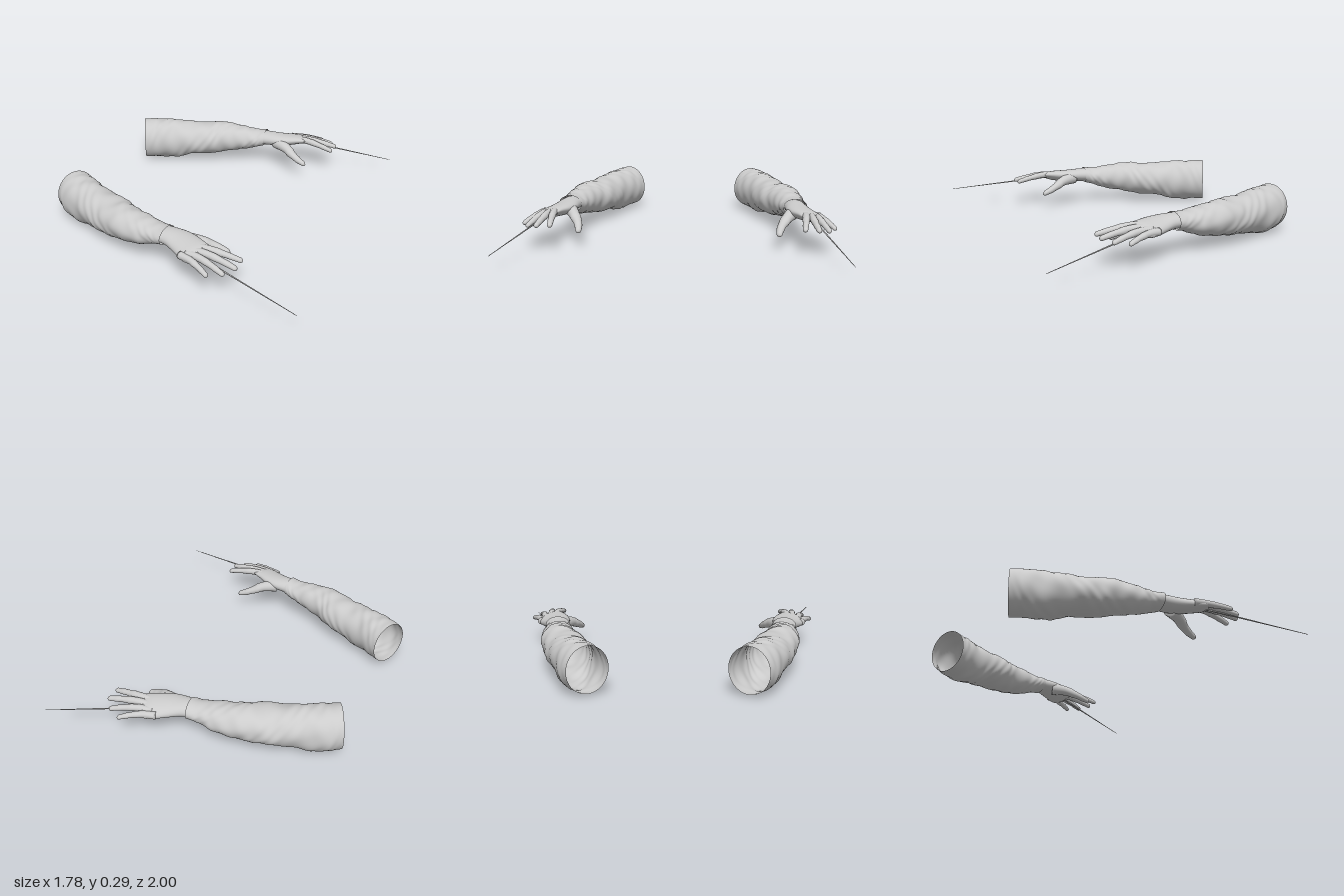
import * as THREE from 'three';

const V = (x, y, z) => new THREE.Vector3(x, y, z);
const skin = new THREE.MeshStandardMaterial({ color: 0xcccccc });
const cloth = new THREE.MeshStandardMaterial({ color: 0xcccccc, side: THREE.DoubleSide });

// Skins a row of elliptical rings { c: centre, u: sideways half axis, h: half height }.
// side = -1 mirrors across z; ripple(t, angle) scales the ring locally.
function loft(rings, sides, side, capped, ripple = () => 1) {
  const pos = [], index = [], n = rings.length;
  const tri = (a, b, c) => (side > 0 ? index.push(a, b, c) : index.push(a, c, b));
  const put = (p) => pos.push(p.x, p.y, p.z * side);
  rings.forEach((r, i) => {
    for (let j = 0; j < sides; j++) {
      const a = (j / sides) * Math.PI * 2, k = ripple(i / (n - 1), a);
      const p = r.c.clone().addScaledVector(r.u, Math.cos(a) * k);
      p.y += Math.sin(a) * r.h * k;
      put(p);
    }
  });
  for (let i = 0; i < n - 1; i++) {
    for (let j = 0; j < sides; j++) {
      const k = (j + 1) % sides, a = i * sides, b = a + sides;
      tri(a + j, b + j, a + k);
      tri(b + j, b + k, a + k);
    }
  }
  if (capped) {
    const s = n * sides, last = (n - 1) * sides;
    put(rings[0].c);
    put(rings[n - 1].c);
    for (let j = 0; j < sides; j++) {
      const k = (j + 1) % sides;
      tri(s, j, k);
      tri(s + 1, last + k, last + j);
    }
  }
  const g = new THREE.BufferGeometry();
  g.setAttribute('position', new THREE.Float32BufferAttribute(pos, 3));
  g.setIndex(index);
  g.computeVertexNormals();
  return g;
}

// Smooth rings from rows of [outer x, outer z, inner x, inner z, low y, high y, tilt].
function sectionRings(rows, count) {
  const curve = (f) => new THREE.CatmullRomCurve3(rows.map(f));
  const outer = curve(([x, z, , , lo, hi, t = 0]) => V(x, (lo + hi) / 2 - t, z));
  const inner = curve(([, , x, z, lo, hi, t = 0]) => V(x, (lo + hi) / 2 + t, z));
  const height = curve(([, , , , lo, hi], i) => V(i, (hi - lo) / 2, 0));
  return Array.from({ length: count + 1 }, (_, i) => {
    const o = outer.getPoint(i / count), n = inner.getPoint(i / count);
    return { c: o.clone().add(n).multiplyScalar(0.5), u: o.sub(n).multiplyScalar(0.5), h: height.getPoint(i / count).y };
  });
}

// Rings of a finger: tapering, with swollen joints and a round tip.
function fingerRings(points, r0, r1) {
  const curve = new THREE.CatmullRomCurve3(points.map((p) => V(...p)));
  const length = curve.getLength(), count = 32;
  return Array.from({ length: count + 1 }, (_, i) => {
    const t = 1 - (1 - i / count) ** 1.5;
    const d = curve.getTangentAt(t);
    const tip = Math.min(1, ((1 - t) * length) / r1);
    const joints = 1 + 0.09 * Math.exp(-(((t - 0.5) / 0.06) ** 2)) + 0.07 * Math.exp(-(((t - 0.77) / 0.05) ** 2));
    const r = Math.max(0.0008, THREE.MathUtils.lerp(r0, r1, t) * joints * Math.sqrt(1 - (1 - tip) ** 2));
    return { c: curve.getPointAt(t), u: V(-d.z, 0, d.x).normalize().multiplyScalar(r), h: r * 0.95 };
  });
}

const sleeveRows = [
  [-0.89, 0.55, -0.77, 0.33, 0.008, 0.283],
  [-0.82, 0.60, -0.69, 0.375, 0.004, 0.283],
  [-0.70, 0.645, -0.58, 0.425, 0.006, 0.275],
  [-0.58, 0.695, -0.48, 0.465, 0.03, 0.268],
  [-0.46, 0.74, -0.36, 0.505, 0.045, 0.263],
  [-0.34, 0.775, -0.27, 0.565, 0.06, 0.267],
  [-0.20, 0.793, -0.15, 0.605, 0.088, 0.253],
  [-0.10, 0.79, -0.06, 0.63, 0.12, 0.24],
  [-0.02, 0.80, 0.0, 0.65, 0.14, 0.245],
];
const palmRows = [
  [-0.06, 0.782, -0.04, 0.65, 0.148, 0.235],
  [0.01, 0.797, 0.02, 0.656, 0.147, 0.237, 0.003],
  [0.07, 0.825, 0.09, 0.662, 0.145, 0.232, 0.01],
  [0.13, 0.86, 0.16, 0.685, 0.147, 0.226, 0.016],
  [0.18, 0.887, 0.22, 0.718, 0.153, 0.22, 0.019],
  [0.215, 0.892, 0.262, 0.738, 0.163, 0.212, 0.019],
  [0.235, 0.88, 0.28, 0.75, 0.175, 0.203, 0.016],
];
const fingers = {
  thumb: [[[0.08, 0.18, 0.705], [0.17, 0.168, 0.665], [0.235, 0.14, 0.632], [0.285, 0.118, 0.617], [0.333, 0.1, 0.61]], 0.044, 0.017],
  indexFinger: [[[0.19, 0.196, 0.772], [0.28, 0.203, 0.77], [0.38, 0.19, 0.762], [0.475, 0.17, 0.752]], 0.026, 0.015],
  middleFinger: [[[0.19, 0.19, 0.805], [0.28, 0.197, 0.81], [0.38, 0.186, 0.822], [0.478, 0.168, 0.836]], 0.026, 0.0155],
  ringFinger: [[[0.17, 0.183, 0.835], [0.25, 0.188, 0.848], [0.34, 0.176, 0.872], [0.43, 0.155, 0.9]], 0.025, 0.015],
  littleFinger: [[[0.14, 0.177, 0.855], [0.21, 0.178, 0.876], [0.28, 0.168, 0.907], [0.35, 0.15, 0.942]], 0.024, 0.014],
};

// Irregular folds of cloth, fading out at both hems
function folds(t, a) {
  const fade = Math.min(1, t * 6, (1 - t) * 8);
  return 1 + fade * (0.022 * Math.sin(21 * t + 2 * a + Math.sin(3 * a))
    + 0.018 * Math.sin(47 * t - 3 * a + 1.5 * Math.sin(9 * t))
    + 0.013 * Math.sin(70 * t + 5 * a + 2 * Math.sin(2 * a + 14 * t)));
}

function arm(side, tip) {
  const g = new THREE.Group();
  const add = (name, geometry, material = skin) => {
    const m = new THREE.Mesh(geometry, material);
    m.name = name;
    g.add(m);
    return m;
  };
  add('sleeve', loft(sectionRings(sleeveRows, 110), 56, side, false, folds), cloth);
  add('palm', loft(sectionRings(palmRows, 36), 36, side, true));
  for (const [name, [points, r0, r1]] of Object.entries(fingers)) {
    add(name, loft(fingerRings(points, r0, r1), 18, side, true));
  }
  // Slim tapering stick held in the hand
  const from = V(0.2, 0.18, 0.81 * side), dir = tip.clone().sub(from);
  const stick = add('stick', new THREE.CylinderGeometry(0.0015, 0.006, dir.length(), 10));
  stick.position.copy(from).addScaledVector(dir, 0.5);
  stick.quaternion.setFromUnitVectors(V(0, 1, 0), dir.normalize());
  return g;
}

export function createModel() {
  const model = new THREE.Group();
  const left = arm(1, V(0.885, 0.106, 0.998));
  left.name = 'frontArm';
  const right = arm(-1, V(0.826, 0.069, -0.998));
  right.name = 'backArm';
  model.add(left, right);
  return model;
}
